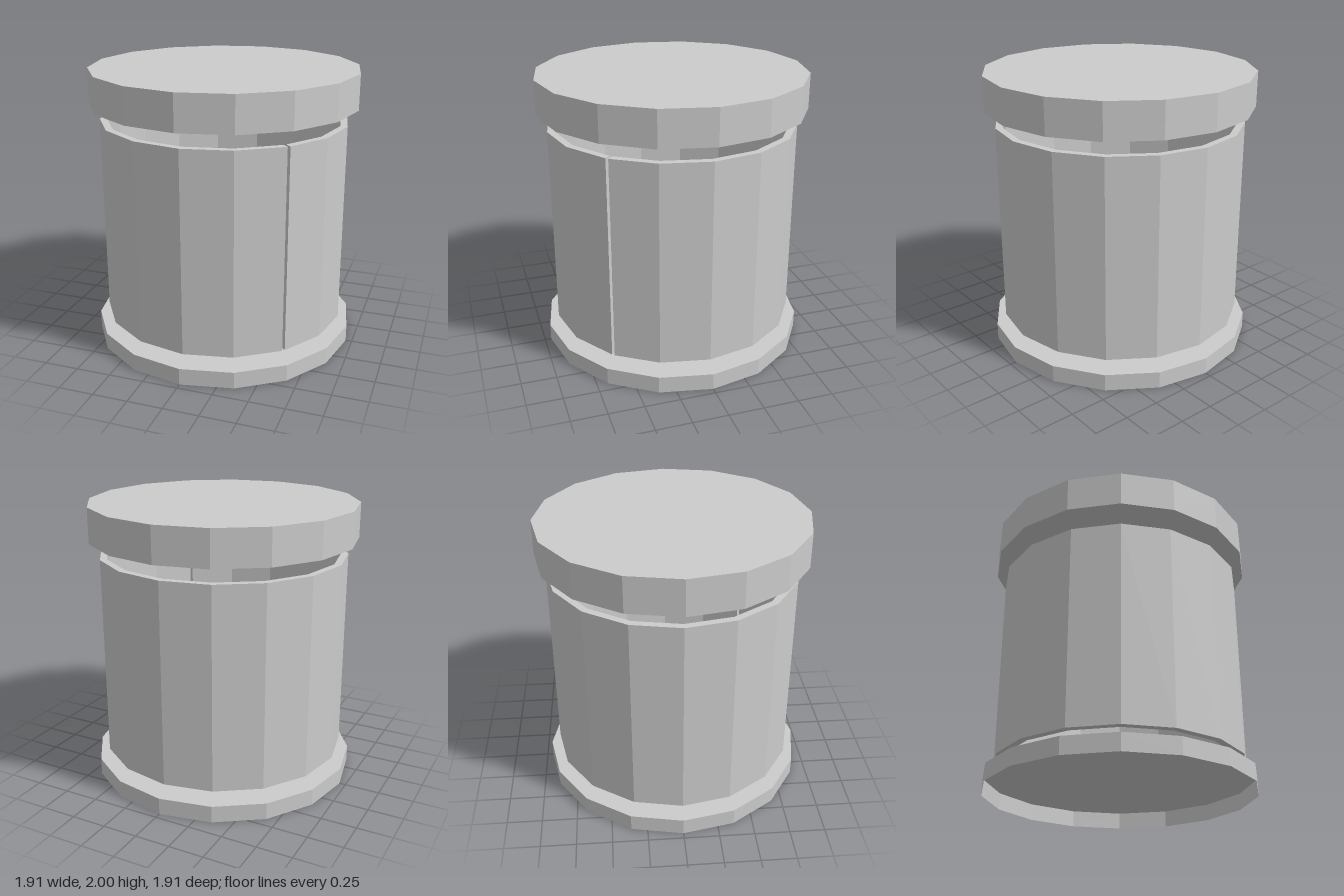
import * as THREE from 'three';

const SIDES = 16;
const material = new THREE.MeshStandardMaterial({ color: 0xcccccc, flatShading: true });
const thinMaterial = new THREE.MeshStandardMaterial({
  color: 0xcccccc, flatShading: true, side: THREE.DoubleSide,
});

// Solid faceted lid standing between two heights
function solidDisc(name, radius, bottom, top) {
  const mesh = new THREE.Mesh(new THREE.CylinderGeometry(radius, radius, top - bottom, SIDES), material);
  mesh.name = name;
  mesh.position.y = (bottom + top) / 2;
  return mesh;
}

// Thin faceted tray: closed on top, hollow and open underneath
function hollowDisc(name, radius, height) {
  const profile = [[radius, 0], [radius, height], [0, height]].map(([r, y]) => new THREE.Vector2(r, y));
  const mesh = new THREE.Mesh(new THREE.LatheGeometry(profile, SIDES), thinMaterial);
  mesh.name = name;
  return mesh;
}

// Faceted tube wall, open at both ends, with a narrow vertical slit at front left
function slitSleeve(name, outer, inner, bottom, top) {
  const step = 360 / SIDES;
  const angles = [46.3];
  for (let i = 1; i <= SIDES; i++) angles.push(45 + i * step);

  // Angle runs from +z towards +x; shape y becomes -z after the rotation
  const ring = (r) => angles.map((deg) => {
    const a = THREE.MathUtils.degToRad(deg);
    return new THREE.Vector2(r * Math.sin(a), -r * Math.cos(a));
  });
  const shape = new THREE.Shape([...ring(outer), ...ring(inner).reverse()]);
  const geometry = new THREE.ExtrudeGeometry(shape, { depth: top - bottom, bevelEnabled: false });
  geometry.rotateX(-Math.PI / 2);

  const mesh = new THREE.Mesh(geometry, material);
  mesh.name = name;
  mesh.position.y = bottom;
  return mesh;
}

export function createModel() {
  const group = new THREE.Group();
  group.name = 'canister';
  group.add(
    hollowDisc('base', 0.955, 0.12),
    slitSleeve('sleeve', 0.886, 0.835, 0.195, 1.635),
    solidDisc('lid', 0.955, 1.75, 2),
  );
  return group;
}
